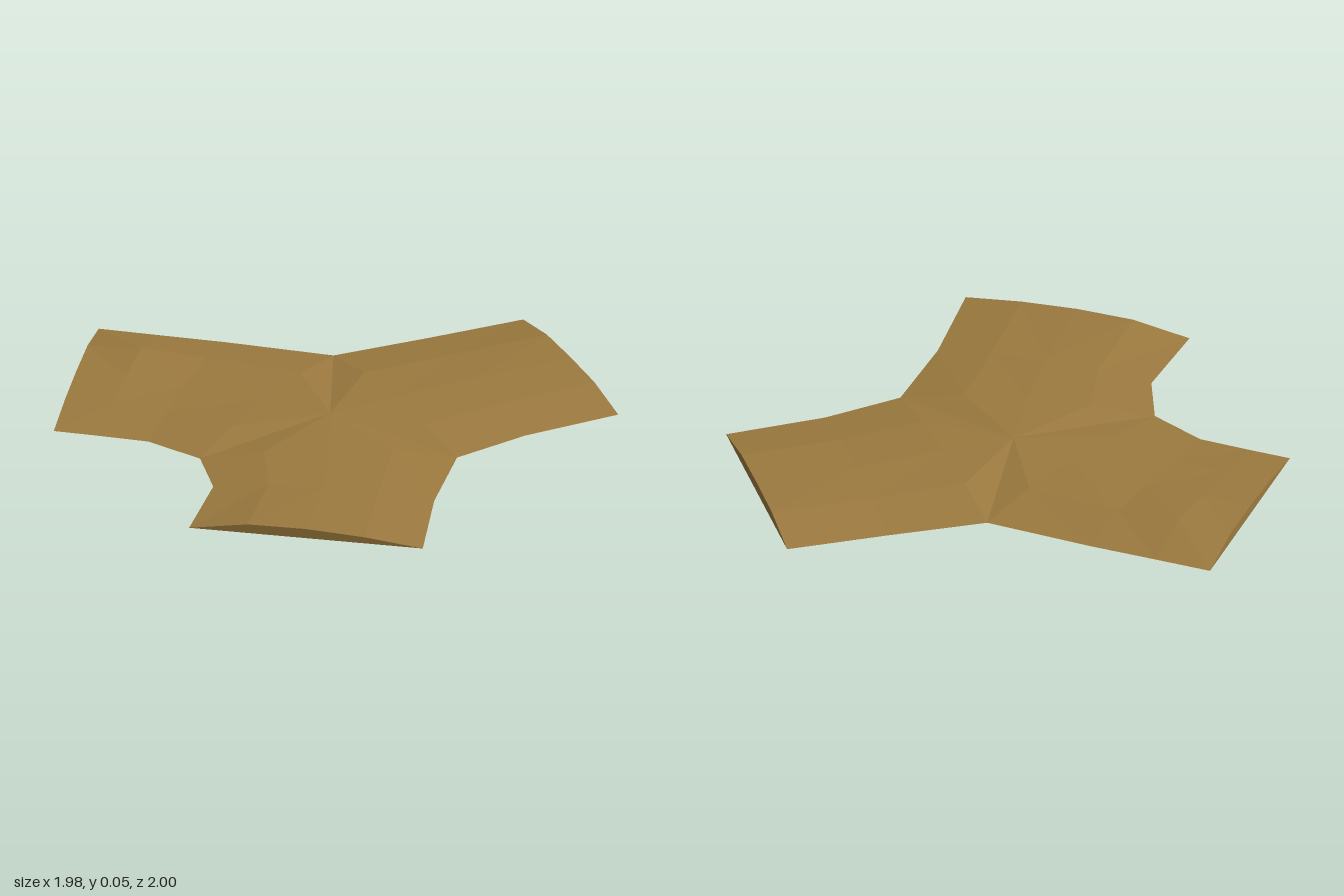
import * as THREE from 'three';

// Corners where neighbouring arms meet, as [x, z]
const A = [-0.13, -0.5], B = [-0.3, 0.45], C = [0.56, 0.14];

// Stations run from the throat out to the end: left edge, right edge, crown heights
const ARMS = {
  leftArm: [
    [A, B, [0.034, 0.033, 0.028]],
    [[-0.53, -0.475], [-0.52, 0.38], [0.036, 0.027, 0.022]],
    [[-0.78, -0.45], [-0.71, 0.395], [0.05, 0.037, 0.026]],
    [[-0.99, -0.43], [-0.865, 0.41], [0.034, 0.034, 0.024]],
  ],
  frontArm: [
    [B, C, [0.028, 0.034, 0.032]],
    [[-0.18, 0.65], [0.6, 0.5], [0.023, 0.027, 0.023]],
    [[-0.15, 0.995], [0.69, 0.88], [0.034, 0.036, 0.024]],
  ],
  backArm: [
    [C, A, [0.032, 0.038, 0.034]],
    [[0.73, -0.11], [0.14, -0.745], [0.03, 0.038, 0.031]],
    [[0.985, -0.38], [0.41, -1], [0.034, 0.038, 0.034]],
  ],
};

// Arched cross-section from left edge to right edge, resting on the ground
function section([l, r, h]) {
  return [0, ...h, 0].map((y, i) => new THREE.Vector3(
    THREE.MathUtils.lerp(l[0], r[0], i / 4), y, THREE.MathUtils.lerp(l[1], r[1], i / 4)));
}

function facets(name, points, material) {
  const geometry = new THREE.BufferGeometry().setFromPoints(points);
  geometry.computeVertexNormals();
  const mesh = new THREE.Mesh(geometry, material);
  mesh.name = name;
  return mesh;
}

export function createModel() {
  const group = new THREE.Group();
  group.name = 'dirtRoadJunction';
  const dirt = new THREE.MeshStandardMaterial({ color: 0x9c7a3f });
  dirt.name = 'packed dirt';

  const centre = new THREE.Vector3(0.04, 0.038, 0.02);
  const middle = [];
  const corners = [];

  for (const [name, stations] of Object.entries(ARMS)) {
    const rows = stations.map(section);
    const tris = [];
    for (let s = 0; s < rows.length - 1; s++) {
      const p = rows[s], q = rows[s + 1];
      // Road surface, with diagonals mirrored about the crown
      for (let i = 0; i < 4; i++) {
        if (i < 2) tris.push(p[i], q[i], p[i + 1], q[i], q[i + 1], p[i + 1]);
        else tris.push(p[i], q[i], q[i + 1], p[i], q[i + 1], p[i + 1]);
      }
      // Flat underside
      tris.push(p[0], p[4], q[0], p[4], q[4], q[0]);
    }
    // Upright arched end
    const end = rows[rows.length - 1];
    for (let i = 1; i < 4; i++) tris.push(end[0], end[i + 1], end[i]);
    group.add(facets(name, tris, dirt));

    // Share of the central patch next to this arm
    for (let i = 0; i < 4; i++) middle.push(centre, rows[0][i], rows[0][i + 1]);
    corners.push(rows[0][0]);
  }

  middle.push(corners[0], corners[2], corners[1]);
  group.add(facets('junctionCentre', middle, dirt));
  return group;
}
